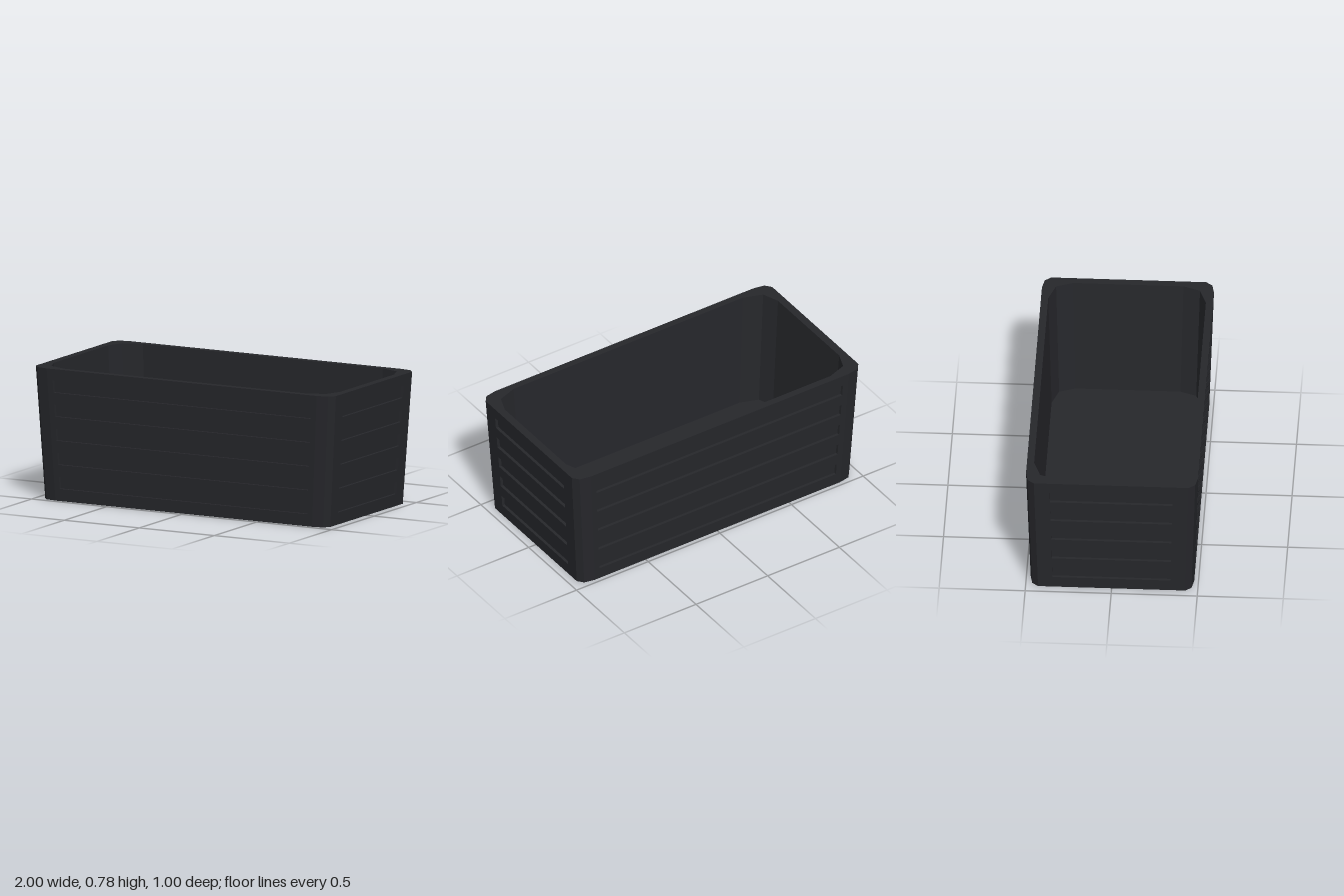
import * as THREE from 'three';

const HEIGHT = 0.78, FLOOR = 0.05, TAPER = 0.95;
const GROOVE_DEPTH = 0.018, GROOVE_H = 0.071, GROOVE_Y = 0.072, GROOVE_STEP = 0.142, GROOVES = 5;

const scaleAt = (y) => TAPER + (1 - TAPER) * (y / HEIGHT);

// Rectangle with two-facet corners, as [x, z] counterclockwise seen from above.
// Every third edge (index 2, 5, 8, 11) is a long flat side.
function outline(w, d, a, b, m, n) {
  return [[a, d], [m, n], [w, b], [w, -b], [m, -n], [a, -d],
    [-a, -d], [-m, -n], [-w, -b], [-w, b], [-m, n], [-a, d]];
}
const OUTER = outline(1, 0.5, 0.9, 0.45, 0.97, 0.487);
const INNER = outline(0.953, 0.458, 0.8, 0.32, 0.915, 0.418);

const ringAt = (pts, y) => pts.map(([x, z]) => [x * scaleAt(y), y, z * scaleAt(y)]);

// Flat-faced mesh from a list of triangles' corners.
function makeMesh(name, corners, material) {
  const geometry = new THREE.BufferGeometry();
  geometry.setAttribute('position', new THREE.Float32BufferAttribute(corners.flat(), 3));
  geometry.computeVertexNormals();
  const mesh = new THREE.Mesh(geometry, material);
  mesh.name = name;
  return mesh;
}

const quad = (a, b, c, d) => [a, b, c, a, c, d];

// Band of quads between two rings.
function loft(lower, upper, keep = () => true) {
  const out = [];
  lower.forEach((p, i) => {
    const j = (i + 1) % lower.length;
    if (keep(i)) out.push(...quad(p, lower[j], upper[j], upper[i]));
  });
  return out;
}

// Flat cap over a ring, facing up or down.
function cap(ring, up) {
  const center = [0, ring[0][1], 0], out = [];
  ring.forEach((p, i) => {
    const q = ring[(i + 1) % ring.length];
    out.push(center, ...(up ? [p, q] : [q, p]));
  });
  return out;
}

// One flat side with recessed horizontal grooves; h is the groove share of its width.
function groovedSide(p, q, h) {
  const dx = q[0] - p[0], dz = q[1] - p[1], len = Math.hypot(dx, dz);
  const nx = -dz / len, nz = dx / len;
  const at = (t, y, depth = 0) => {
    const s = scaleAt(y);
    return [(p[0] + dx * t - nx * depth) * s, y, (p[1] + dz * t - nz * depth) * s];
  };
  const patch = (t0, t1, y0, y1, d = 0) => quad(at(t0, y0, d), at(t1, y0, d), at(t1, y1, d), at(t0, y1, d));
  const l = (1 - h) / 2, r = 1 - l, D = GROOVE_DEPTH;
  const out = [...patch(0, l, 0, HEIGHT), ...patch(r, 1, 0, HEIGHT)];
  let y = 0;
  for (let k = 0; k < GROOVES; k++) {
    const y0 = GROOVE_Y + k * GROOVE_STEP, y1 = y0 + GROOVE_H;
    out.push(...patch(l, r, y, y0), ...patch(l, r, y0, y1, D));
    // Four walls of the groove
    const rim = [[l, y0], [r, y0], [r, y1], [l, y1]];
    rim.forEach(([t, v], i) => {
      const [t2, v2] = rim[(i + 1) % 4];
      out.push(...quad(at(t, v), at(t2, v2), at(t2, v2, D), at(t, v, D)));
    });
    y = y1;
  }
  out.push(...patch(l, r, y, HEIGHT));
  return out;
}

export function createModel() {
  const group = new THREE.Group();
  group.name = 'planterBox';
  const material = new THREE.MeshStandardMaterial({ color: 0x26272b, flatShading: true });
  const add = (name, corners) => group.add(makeMesh(name, corners, material));

  const outerBottom = ringAt(OUTER, 0), outerTop = ringAt(OUTER, HEIGHT);
  const innerBottom = ringAt(INNER, FLOOR), innerTop = ringAt(INNER, HEIGHT);

  // Grooved outer sides
  const sides = { leftSide: 2, backSide: 5, rightSide: 8, frontSide: 11 };
  for (const [name, i] of Object.entries(sides)) {
    const isEnd = i === 2 || i === 8;
    add(name, groovedSide(OUTER[i], OUTER[(i + 1) % 12], isEnd ? 0.8 : 0.961));
  }

  // Corners, rim, inside and base
  add('outerCorners', loft(outerBottom, outerTop, (i) => i % 3 !== 2));
  add('rim', loft(outerTop, innerTop));
  add('innerWalls', loft(innerTop, innerBottom));
  add('innerFloor', cap(innerBottom, true));
  add('underside', cap(outerBottom, false));
  return group;
}
